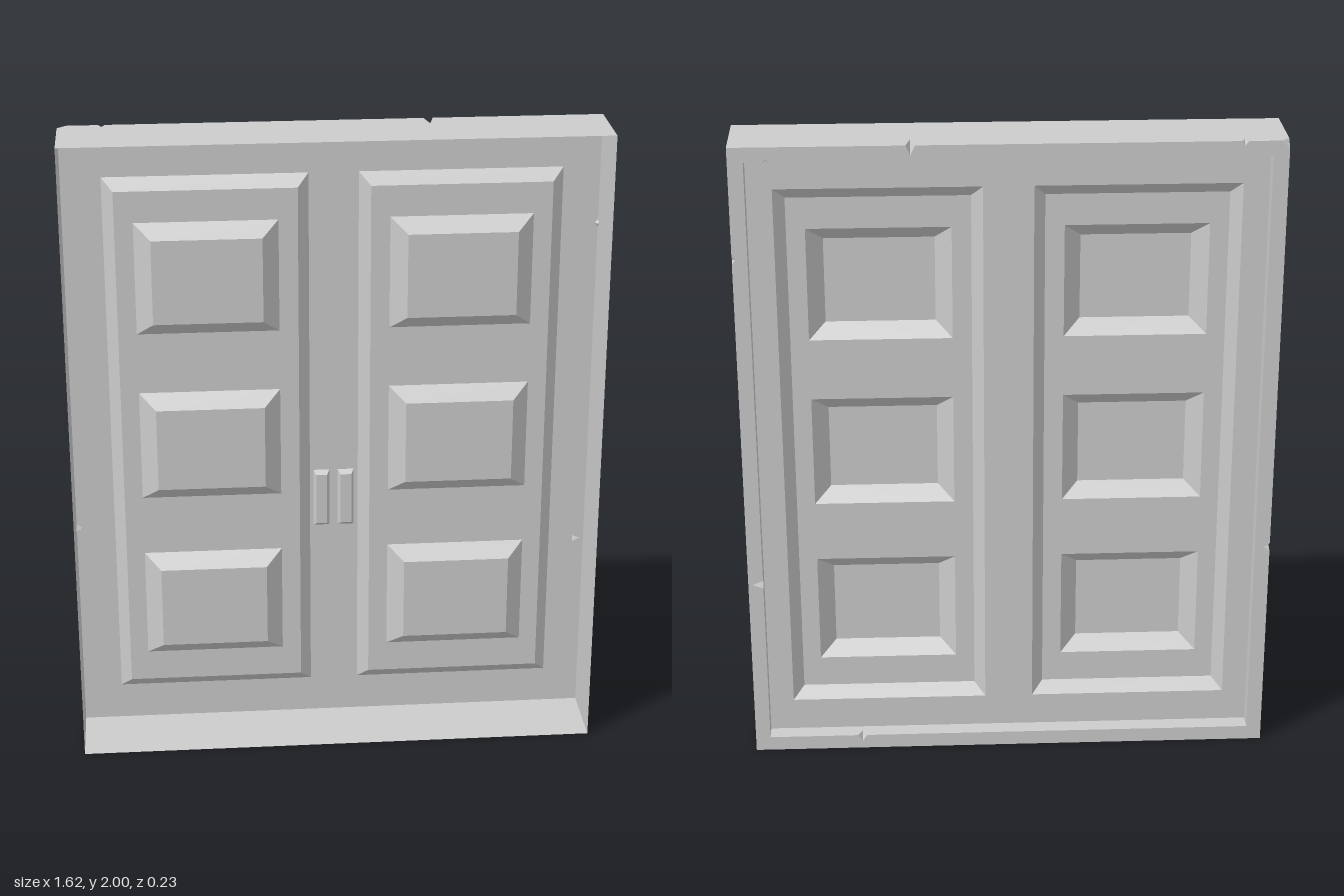
import * as THREE from 'three';

const material = new THREE.MeshStandardMaterial({ color: 0xcccccc, side: THREE.DoubleSide });
const V2 = (x, y) => new THREE.Vector2(x, y);

const W = 0.81, H = 2, Z = 0.114, RIM = 0.046;      // casing half width, height, half depth, rim width
const DOOR_Z = -0.06, PANEL_Z = -0.028, FIELD_Z = 0.014;

// Flat-shaded mesh from a list of corner points, three per triangle
function facets(name, points) {
  const geometry = new THREE.BufferGeometry().setFromPoints(points);
  geometry.computeVertexNormals();
  const mesh = new THREE.Mesh(geometry, material);
  mesh.name = name;
  return mesh;
}

// Triangulates a 2D outline with holes and places it in space with map(x, y)
function fill(out, outline, holes, map) {
  const all = [outline, ...holes].flat();
  for (const tri of THREE.ShapeUtils.triangulateShape(outline, holes))
    for (const i of tri) out.push(map(all[i].x, all[i].y));
}

const corners = ([x0, x1, y0, y1]) => [V2(x0, y0), V2(x1, y0), V2(x1, y1), V2(x0, y1)];
const inset = ([x0, x1, y0, y1], dx, dy) => [x0 + dx, x1 - dx, y0 + dy, y1 - dy];
const atZ = (z) => (x, y) => new THREE.Vector3(x, y, z);

// Sloping band between two rectangles at different depths
function bevel(out, outer, zOuter, inner, zInner) {
  const a = corners(outer).map((p) => atZ(zOuter)(p.x, p.y));
  const b = corners(inner).map((p) => atZ(zInner)(p.x, p.y));
  for (let i = 0; i < 4; i++) {
    const j = (i + 1) % 4;
    out.push(a[i], a[j], b[j], a[i], b[j], b[i]);
  }
}

// Four walls running from the back rim to zEnd, with chips cut out of the rim edge.
// side: 0 bottom, 1 +x, 2 top, 3 -x; dir is 1 when the rim lies inside the walls.
// Returns the chipped outline of the rim.
function walls(out, rect, zEnd, dir, chips, cornerCut) {
  const c = corners(rect), rim = [];
  for (let i = 0; i < 4; i++) {
    const start = c[i], end = c[(i + 1) % 4];
    const length = start.distanceTo(end);
    const t = end.clone().sub(start).normalize(), n = V2(-t.y, t.x).multiplyScalar(dir);
    const place = (u, v, z) => new THREE.Vector3(start.x + t.x * u + n.x * v, start.y + t.y * u + n.y * v, z);
    const profile = [];
    const add = (u, v, z) => {
      profile.push(V2(u, z));
      const p = place(u, v, 0);
      rim.push(V2(p.x, p.y));
    };
    // Broken-off corner between the top and the -x side
    if (i === 3 && cornerCut) {
      profile.push(V2(0, -Z + cornerCut));
      add(cornerCut, 0, -Z);
      const a = c[3];
      out.push(new THREE.Vector3(a.x + cornerCut, a.y, -Z), new THREE.Vector3(a.x, a.y - cornerCut, -Z),
        new THREE.Vector3(a.x, a.y, -Z + cornerCut));
    } else add(0, 0, -Z);
    for (const { at, w, d, h } of chips.filter((k) => k.side === i)) {
      add(at - w, 0, -Z);
      profile.push(V2(at, -Z + h));
      const tip = place(at, d, 0);
      rim.push(V2(tip.x, tip.y));
      add(at + w, 0, -Z);
      const A = place(at - w, 0, -Z), B = place(at + w, 0, -Z);
      const C = place(at, 0, -Z + h), D = place(at, d, -Z);
      out.push(A, C, D, B, D, C);
    }
    if (i === 2 && cornerCut) {
      add(length - cornerCut, 0, -Z);
      profile.push(V2(length, -Z + cornerCut));
    } else profile.push(V2(length, -Z));
    profile.push(V2(length, zEnd), V2(0, zEnd));
    fill(out, profile, [], (u, z) => place(u, 0, z));
  }
  return rim;
}

// Open casing with a back rim and a step leading to the doors
function makeCasing() {
  const outer = [-W, W, 0, H], inner = inset(outer, RIM, RIM), out = [];
  const outerRim = walls(out, outer, Z, 1, [
    { side: 1, at: 1.66, w: 0.012, d: 0.01, h: 0.012 },
    { side: 2, at: W - 0.285, w: 0.014, d: 0.03, h: 0.06 },
    { side: 2, at: W + 0.68, w: 0.01, d: 0.015, h: 0.02 },
    { side: 3, at: H - 0.69, w: 0.014, d: 0.02, h: 0.03 },
  ], 0.025);
  const innerRim = walls(out, inner, DOOR_Z, -1, [
    { side: 0, at: W - RIM + 0.47, w: 0.014, d: 0.022, h: 0.03 },
    { side: 1, at: 0.595 - RIM, w: 0.013, d: 0.034, h: 0.03 },
    { side: 2, at: W - RIM - 0.7, w: 0.012, d: 0.008, h: 0.02 },
  ], 0);
  fill(out, outerRim, [innerRim], atZ(-Z));
  return facets('casing', out);
}

// One door leaf: a long raised panel carrying three raised fields
function makeDoor(side) {
  const flip = ([x0, x1, y0, y1]) => (side > 0 ? [x0, x1, y0, y1] : [-x1, -x0, y0, y1]);
  const leaf = flip([0, W - RIM, RIM, H - RIM]);
  const panel = flip([0.075, 0.688, 0.15, 1.857]), panelTop = inset(panel, 0.034, 0.036);
  const fields = [0.285, 0.828, 1.372].map((y) => flip([0.167, 0.598, y, y + 0.352]));
  const out = [];
  fill(out, corners(leaf), [corners(panel)], atZ(DOOR_Z));
  bevel(out, panel, DOOR_Z, panelTop, PANEL_Z);
  fill(out, corners(panelTop), fields.map(corners), atZ(PANEL_Z));
  for (const field of fields) {
    const top = inset(field, 0.05, 0.044);
    bevel(out, field, PANEL_Z, top, FIELD_Z);
    fill(out, corners(top), [], atZ(FIELD_Z));
  }
  return facets(side > 0 ? 'leftDoor' : 'rightDoor', out);
}

// Small bevelled pull plate beside the meeting line
function makeHandle(side) {
  const x = side > 0 ? 0.012 : -0.064, out = [];
  const base = [x, x + 0.05, 0.7, 0.89], top = inset(base, 0.008, 0.012);
  bevel(out, base, DOOR_Z, top, DOOR_Z + 0.015);
  fill(out, corners(top), [], atZ(DOOR_Z + 0.015));
  return facets(side > 0 ? 'leftHandle' : 'rightHandle', out);
}

export function createModel() {
  const model = new THREE.Group();
  model.name = 'panelledDoubleDoor';
  model.add(makeCasing());
  for (const side of [1, -1]) model.add(makeDoor(side), makeHandle(side));
  return model;
}
